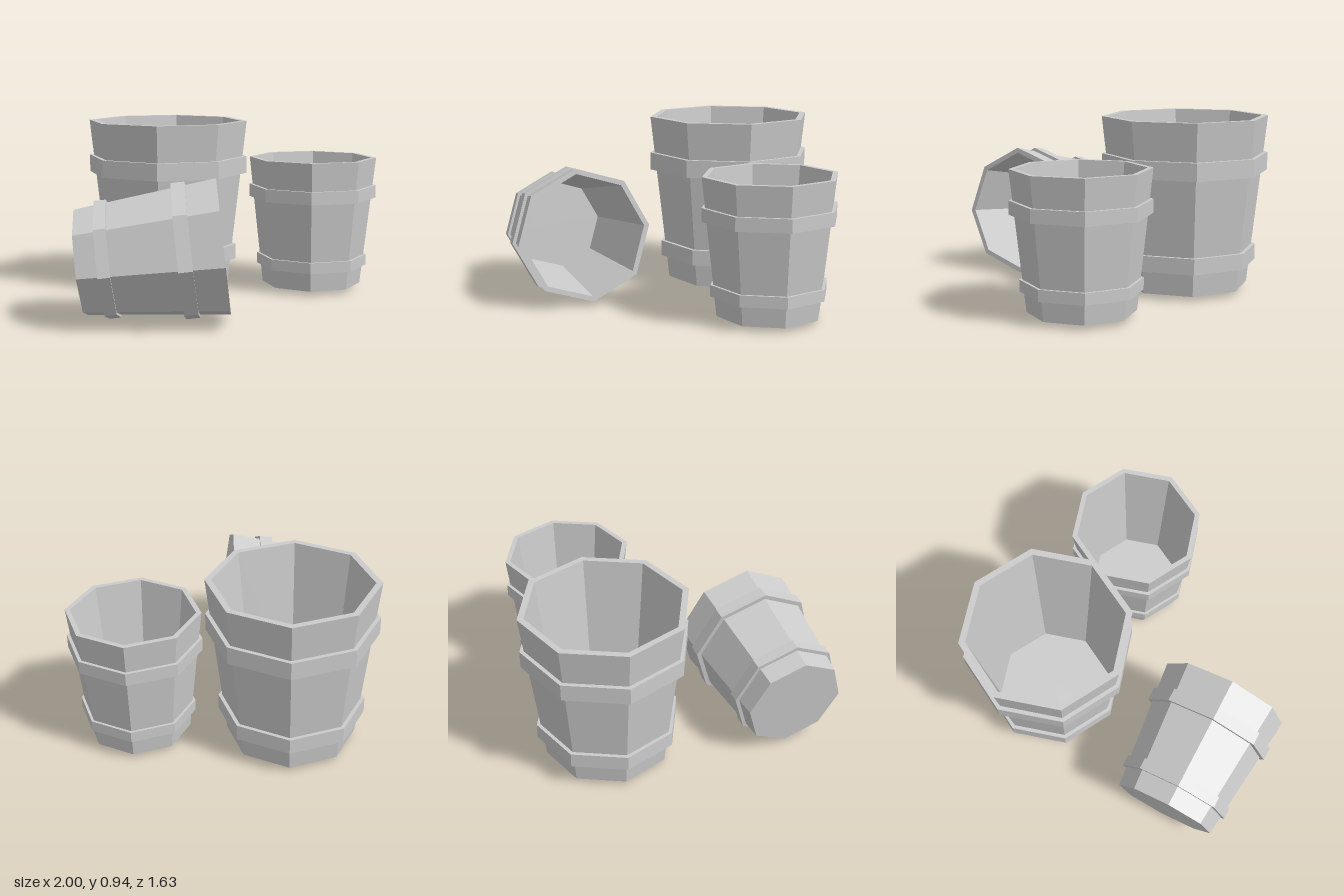
import * as THREE from 'three';

const material = new THREE.MeshStandardMaterial({ color: 0xcccccc, flatShading: true });

// Eight-sided turned part from [radius, height] pairs
function turned(name, profile) {
  const points = profile.map(([r, y]) => new THREE.Vector2(r, y));
  const mesh = new THREE.Mesh(new THREE.LatheGeometry(points, 8), material);
  mesh.name = name;
  return mesh;
}

// Open tapered barrel standing on its own origin; bands are [bottom, top, radius]
function barrel(name, { height, bottom, top, rim, floor, floorY, bands }) {
  const group = new THREE.Group();
  group.name = name;
  group.add(turned('staves', [
    [0, 0], [bottom, 0], [top, height], [rim, height], [floor, floorY], [0, floorY],
  ]));
  bands.forEach(([y0, y1, r], i) => {
    // inner edge stays hidden within the stave thickness
    const inner = bottom + (top - bottom) * (y0 + y1) / 2 / height - 0.01;
    group.add(turned(i ? 'upperBand' : 'lowerBand', [
      [inner, y0], [r, y0], [r, y1], [inner, y1],
    ]));
  });
  return group;
}

const LARGE = {
  height: 0.915, bottom: 0.345, top: 0.45, rim: 0.415, floor: 0.315, floorY: 0.035,
  bands: [[0.125, 0.21, 0.39], [0.62, 0.715, 0.45]],
};
const SMALL = {
  height: 0.715, bottom: 0.275, top: 0.354, rim: 0.326, floor: 0.25, floorY: 0.03,
  bands: [[0.105, 0.165, 0.308], [0.49, 0.56, 0.355]],
};

export function createModel() {
  const model = new THREE.Group();
  model.name = 'barrels';

  // Two upright barrels
  const large = barrel('largeBarrel', LARGE);
  large.position.set(0.065, 0.035, -0.367);
  const small = barrel('smallBarrel', SMALL);
  small.position.set(0.642, 0.035, 0.22);

  // Barrel lying on its side, its mouth facing front and slightly up
  const lying = new THREE.Group();
  lying.name = 'lyingBarrel';
  lying.position.set(-0.832, 0.307, 0.087);
  lying.lookAt(-0.28, 0.386, 0.535);
  const body = barrel('lyingBarrelBody', SMALL);
  body.rotation.set(Math.PI / 2, THREE.MathUtils.degToRad(5.5), 0);
  lying.add(body);

  model.add(large, small, lying);
  return model;
}
